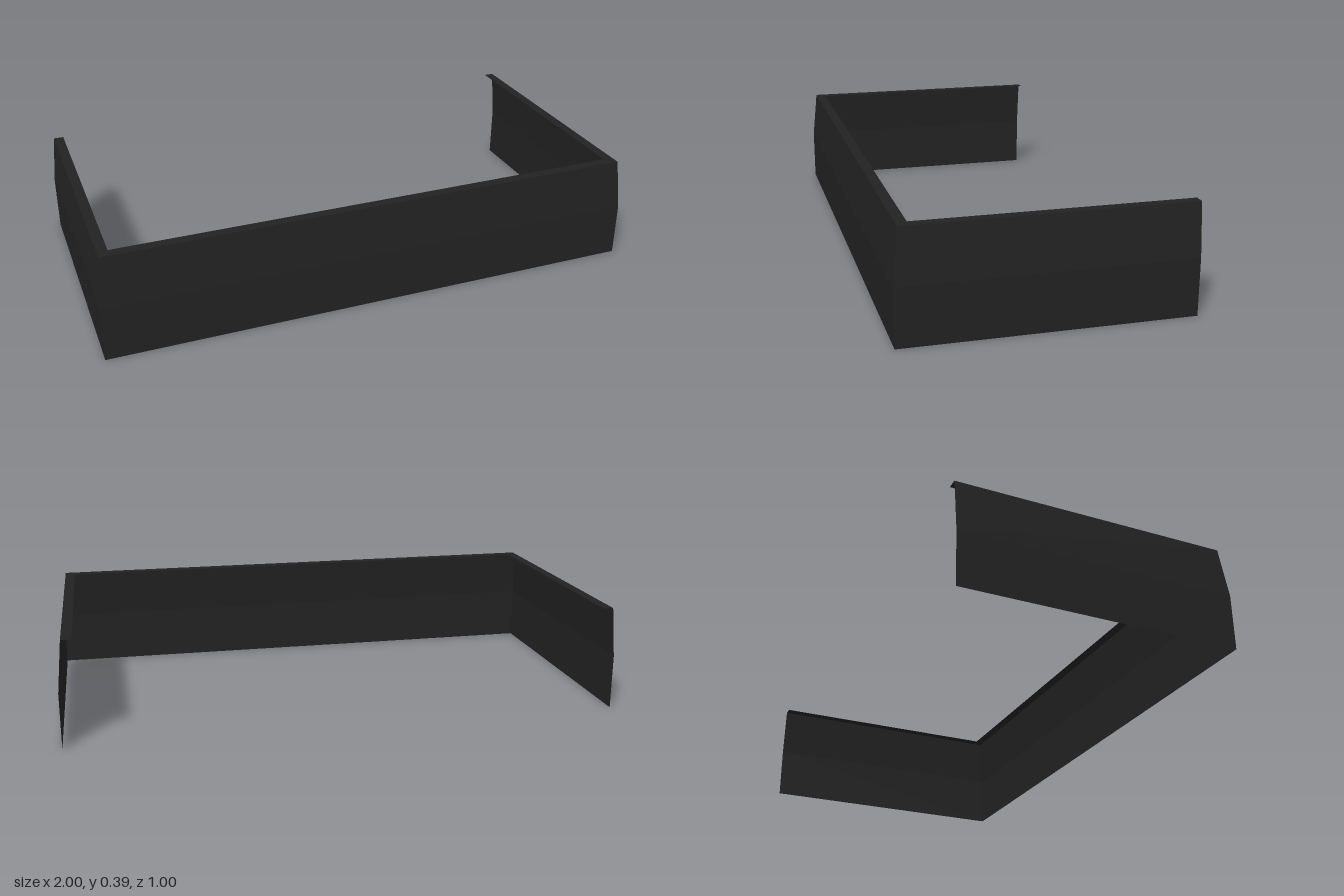
import * as THREE from 'three';

// Sheet cross-section from bottom to top: [inset from the outer face, height]
const PROFILE = [[0, 0], [0, 0.2], [0.018, 0.386], [0.055, 0.386]];

// Corner of the U-shaped plan, moved inward by the inset; the back ends stay flush
const PLAN = [
  (d) => [1 - d, -0.5],
  (d) => [1 - d, 0.5 - d],
  (d) => [-1 + d, 0.5 - d],
  (d) => [-1 + d, -0.5],
];

// One mitred panel between two plan corners, with flat faces
function panel(name, from, to, material) {
  const positions = [];
  const point = (corner, [inset, y]) => {
    const [x, z] = corner(inset);
    return [x, y, z];
  };
  for (let i = 0; i < PROFILE.length - 1; i++) {
    const a = point(to, PROFILE[i]);
    const b = point(from, PROFILE[i]);
    const c = point(from, PROFILE[i + 1]);
    const d = point(to, PROFILE[i + 1]);
    positions.push(...a, ...b, ...c, ...a, ...c, ...d);
  }
  const geometry = new THREE.BufferGeometry();
  geometry.setAttribute('position', new THREE.Float32BufferAttribute(positions, 3));
  geometry.computeVertexNormals();
  const mesh = new THREE.Mesh(geometry, material);
  mesh.name = name;
  return mesh;
}

export function createModel() {
  const group = new THREE.Group();
  group.name = 'skirtSurround';
  const black = new THREE.MeshStandardMaterial({ color: 0x222222, side: THREE.DoubleSide });
  black.name = 'matteBlack';

  // Left side, front and right side, each with its folded top lip
  ['leftPanel', 'frontPanel', 'rightPanel'].forEach((name, i) => {
    group.add(panel(name, PLAN[i], PLAN[i + 1], black));
  });
  return group;
}
